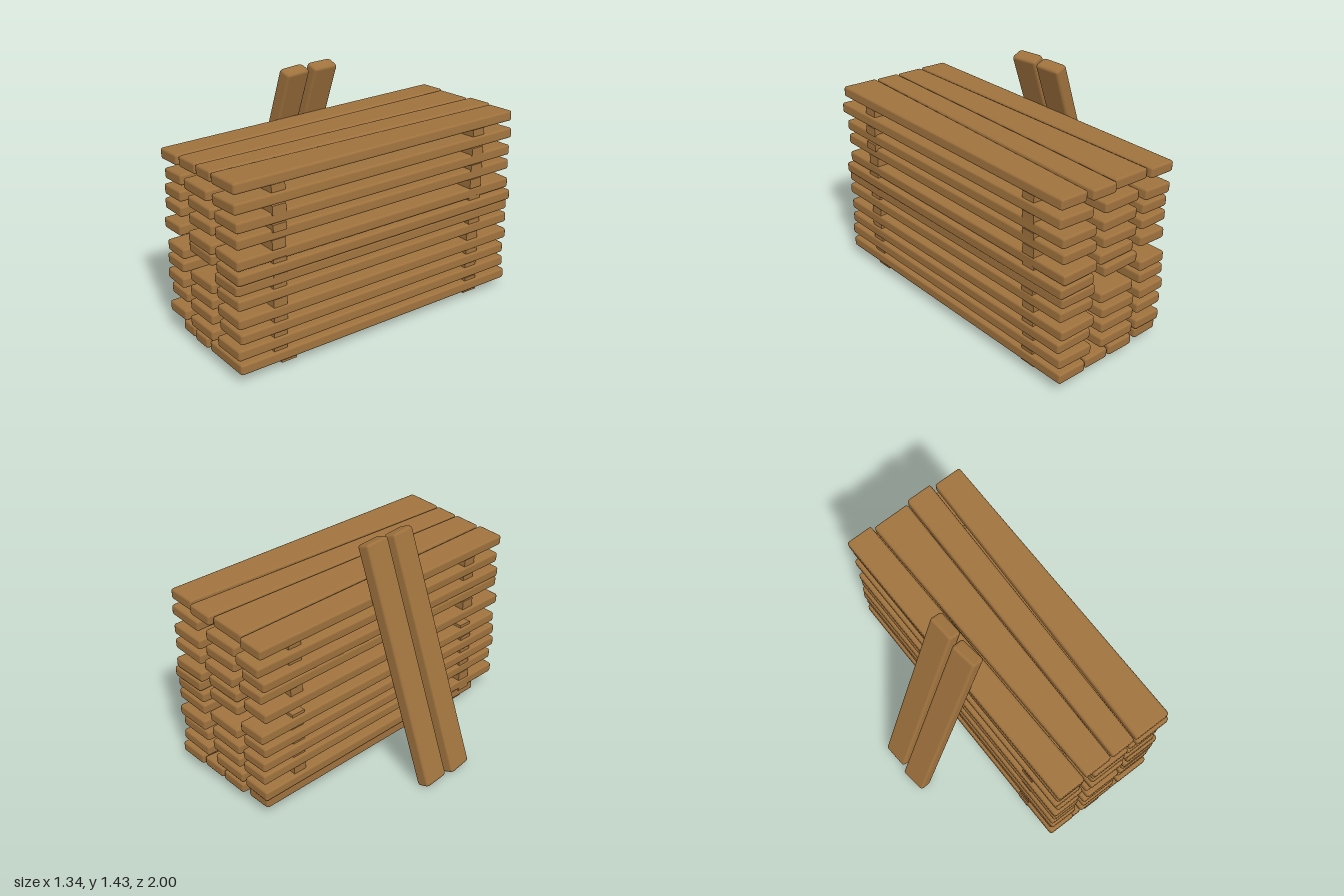
import * as THREE from 'three';
import { RoundedBoxGeometry } from 'three/addons/geometries/RoundedBoxGeometry.js';

const wood = new THREE.MeshStandardMaterial({ color: 0xa0733e });
wood.name = 'brown wood';

// Board along z with eased edges; front and back are its [left, right] x limits at each end
function board(name, front, back, thickness, zBack, zFront) {
  const width = (front[1] - front[0] + back[1] - back[0]) / 2;
  const length = zFront - zBack;
  const geo = new RoundedBoxGeometry(width, thickness, length, 1, 0.014);
  const p = geo.attributes.position;
  for (let i = 0; i < p.count; i++) {
    const t = p.getZ(i) / length + 0.5;
    const u = p.getX(i) / width + 0.5;
    const left = THREE.MathUtils.lerp(back[0], front[0], t);
    const right = THREE.MathUtils.lerp(back[1], front[1], t);
    p.setX(i, THREE.MathUtils.lerp(left, right, u));
    p.setZ(i, p.getZ(i) + (zFront + zBack) / 2);
  }
  geo.computeBoundingSphere();
  const mesh = new THREE.Mesh(geo, wood);
  mesh.name = name;
  return mesh;
}

export function createModel() {
  const model = new THREE.Group();
  model.name = 'lumberStack';

  let seed = 7;
  const jitter = (amount) => {
    seed = (seed * 16807) % 2147483647;
    return (seed / 2147483647 - 0.5) * 2 * amount;
  };

  const stack = new THREE.Group();
  stack.name = 'stack';
  stack.position.set(0.19, 0, 0);
  stack.rotation.y = -0.097;
  model.add(stack);

  // Layer heights at the two long sides, bottom to top
  const leftY = [0.1, 0.175, 0.28, 0.37, 0.465, 0.555, 0.63, 0.70, 0.81, 0.90, 0.995, 1.105];
  const rightY = [0.105, 0.19, 0.295, 0.385, 0.49, 0.57, 0.65, 0.725, 0.83, 0.925, 1.035, 1.148];
  const top = leftY.length - 1;

  // [front limits, back limits] of the boards in a layer
  const topBoards = [
    [[-0.39, -0.215], [-0.42, -0.25]],
    [[-0.2, -0.03], [-0.24, 0]],
    [[-0.02, 0.13], [0.01, 0.18]],
    [[0.14, 0.37], [0.2, 0.38]],
  ];
  const midBoards = [
    [[-0.38, -0.2], [-0.4, -0.21]],
    [[-0.13, 0.11], [-0.17, 0.08]],
    [[0.15, 0.375], [0.14, 0.38]],
  ];
  const bottomBoards = [
    [[-0.35, -0.26], [-0.37, -0.2]],
    [[-0.25, -0.13], [-0.18, 0]],
    [[-0.11, 0.02], [0.01, 0.18]],
    [[0.04, 0.375], [0.19, 0.38]],
  ];

  leftY.forEach((ly, i) => {
    const layer = new THREE.Group();
    layer.name = `layer${i + 1}`;
    layer.position.y = (ly + rightY[i]) / 2;
    layer.rotation.z = Math.atan2(rightY[i] - ly, 0.77);
    stack.add(layer);

    const set = i === top ? topBoards : i === 0 ? bottomBoards : midBoards;
    set.forEach(([front, back], k) => {
      // Two places in the stack are left empty
      if ((i === 6 && k === 0) || (i === 5 && k === 1)) return;
      const slip = i === top ? 0 : jitter(0.012);
      const shift = ([a, b]) => [a + slip, b + slip];
      const set0 = i === 0 && k === 0 ? 0.8 : 0.955;
      const mesh = board('stackBoard', shift(front), shift(back), 0.064,
        -0.955 + jitter(0.015), set0 + jitter(0.01));
      mesh.rotation.z = i === top ? 0 : jitter(0.025);
      layer.add(mesh);
    });

    // Cross strips that separate this layer from the one above
    if (i < top) {
      const gap = (leftY[i + 1] + rightY[i + 1] - ly - rightY[i]) / 2;
      for (const z of [-0.69, 0.69]) {
        const strip = new THREE.Mesh(new THREE.BoxGeometry(0.74, Math.max(gap - 0.05, 0.02), 0.085), wood);
        strip.name = 'spacerStrip';
        strip.position.set(jitter(0.008), gap / 2, z);
        layer.add(strip);
      }
    }
  });

  // Thin bearers under the stack
  for (const z of [-0.69, 0.64]) {
    const bearer = new THREE.Mesh(new THREE.BoxGeometry(0.72, 0.03, 0.1), wood);
    bearer.name = 'bearer';
    bearer.position.set(0.01, 0.075, z);
    stack.add(bearer);
  }

  // Two planks leaning on the left flank
  for (const [x, z, lean, yaw] of [[-0.393, 0.066, 0.322, 0.04], [-0.372, -0.128, 0.318, -0.03]]) {
    const plank = new THREE.Mesh(new RoundedBoxGeometry(0.085, 1.485, 0.168, 1, 0.018), wood);
    plank.name = 'leaningPlank';
    plank.position.set(x, 0.733, z);
    plank.rotation.set(0, yaw, -lean, 'ZYX');
    model.add(plank);
  }

  return model;
}
